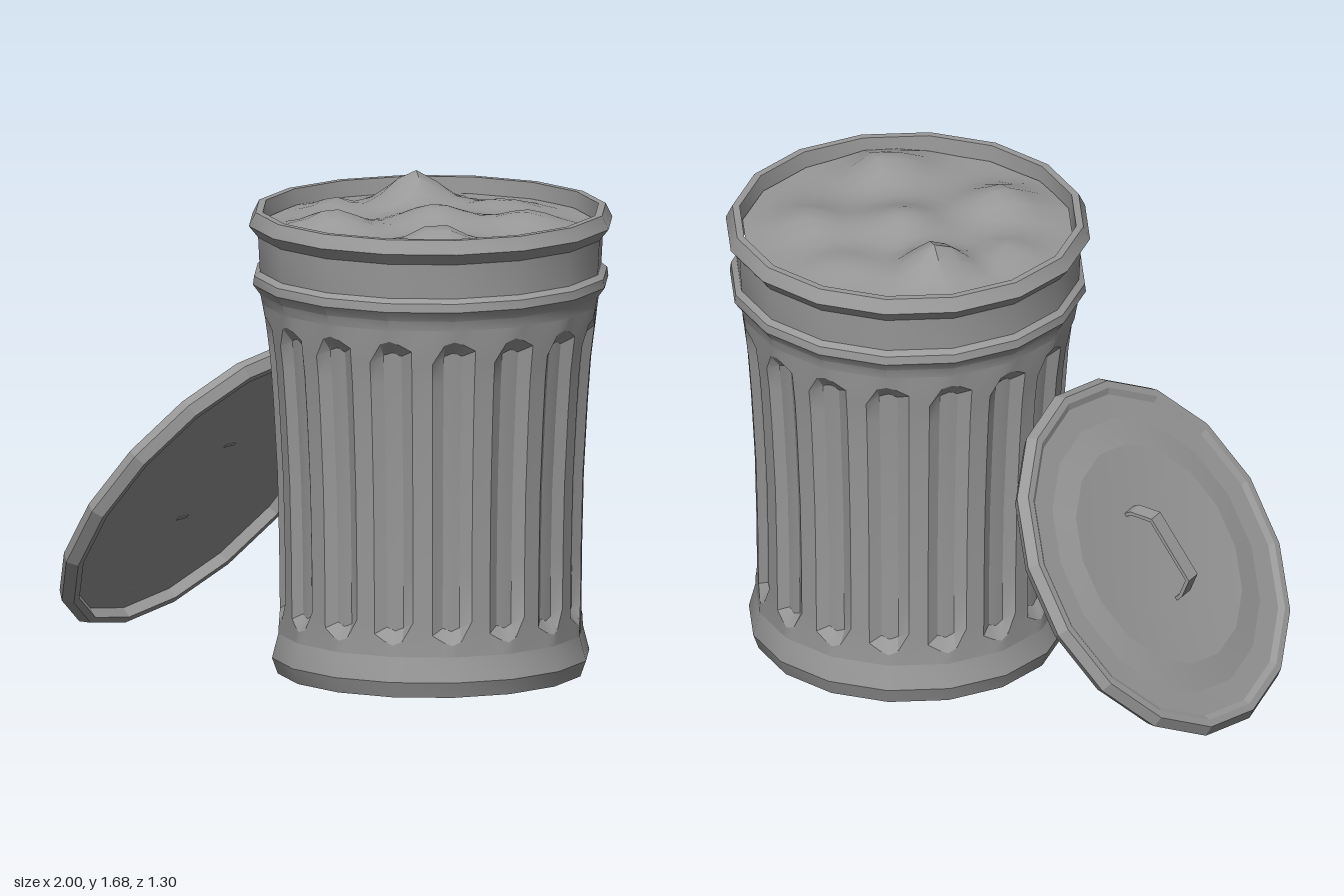
import * as THREE from 'three';
import { toCreasedNormals } from 'three/addons/utils/BufferGeometryUtils.js';

const SIDES = 16;
const rad = THREE.MathUtils.degToRad;

// Turn [radius, height] pairs into a 16-sided ring shape
function lathe(pairs, crease) {
  const g = new THREE.LatheGeometry(pairs.map(([r, y]) => new THREE.Vector2(r, y)), SIDES);
  return toCreasedNormals(g, crease);
}

// Skin a grid of points: rows go up, columns go round and close on themselves
function skin(rows, crease) {
  const n = rows[0].length, index = [];
  for (let j = 0; j < rows.length - 1; j++) {
    for (let i = 0; i < n; i++) {
      const a = j * n + i, b = j * n + (i + 1) % n;
      index.push(a, b, b + n, a, b + n, a + n);
    }
  }
  const g = new THREE.BufferGeometry();
  g.setAttribute('position', new THREE.Float32BufferAttribute(rows.flat(2), 3));
  g.setIndex(index);
  return toCreasedNormals(g, crease);
}

// Wall with sixteen shallow flutes, each centred on a corner of the polygon
function flutedWall() {
  // angle in the sector, depth, rounding of the flute's ends
  const columns = [[-7.6, 0, 0.035], [-3.4, 0.03, 0.012], [0, 0.034, 0], [3.4, 0.03, 0.012], [7.6, 0, 0.035]];
  // height, radius, depth factor, direction of end rounding
  const levels = [
    [0.15, 0.528, 0, 0], [0.19, 0.526, 0, 1], [0.235, 0.527, 1, 1], [0.45, 0.529, 1, 0],
    [0.7, 0.535, 1, 0], [0.95, 0.549, 1, 0], [1.1, 0.56, 1, 0],
    [1.215, 0.57, 1, -1], [1.26, 0.576, 0, -1], [1.3, 0.583, 0, 0],
  ];
  const half = Math.PI / SIDES;
  return skin(levels.map(([y, R, f, dir]) => {
    const row = [];
    for (let s = 0; s < SIDES; s++) {
      for (const [deg, depth, bend] of columns) {
        const t = rad(deg), a = s * 2 * half + t;
        const r = R * Math.cos(half) / Math.cos(half - Math.abs(t)) - depth * f;
        row.push([r * Math.sin(a), y + dir * bend, r * Math.cos(a)]);
      }
    }
    return row;
  }), 0.5);
}

// Lumpy filling: rings of points raised by soft mounds
function fillingShape() {
  const mounds = [ // x, z, height, width
    [-0.24, -0.23, 0.125, 0.12], [0.27, 0.32, 0.08, 0.12], [-0.2, 0.3, 0.075, 0.13],
    [0.02, 0.0, 0.07, 0.14], [0.3, -0.15, 0.06, 0.13], [0.05, -0.35, 0.04, 0.12], [-0.4, 0.02, 0.05, 0.1],
  ];
  const rows = [];
  for (let j = 0; j <= 10; j++) {
    const row = [], r = 0.572 * (1 - j / 10);
    for (let i = 0; i < 32; i++) {
      const a = i / 32 * Math.PI * 2;
      const rr = i % 2 ? r * Math.cos(Math.PI / SIDES) : r;
      const x = rr * Math.sin(a), z = rr * Math.cos(a);
      let y = 1.565;
      for (const [mx, mz, h, w] of mounds) {
        const d = Math.hypot(x - mx, z - mz) / w;
        y += h * Math.exp(-d * d);
      }
      row.push([x, y, z]);
    }
    rows.push(row);
  }
  return skin(rows, 0.6);
}

export function createModel() {
  const metal = new THREE.MeshStandardMaterial({ color: 0x999999 });
  metal.name = 'grey metal';
  const model = new THREE.Group();
  model.name = 'trashCanWithLid';

  function add(parent, name, geometry) {
    const mesh = new THREE.Mesh(geometry, metal);
    mesh.name = name;
    parent.add(mesh);
  }

  // Can
  const can = new THREE.Group();
  can.name = 'can';
  can.position.x = 0.365;
  model.add(can);
  add(can, 'base', lathe([[0, 0.01], [0.53, 0.01], [0.55, 0.065], [0.528, 0.15]], 0.5));
  add(can, 'flutedWall', flutedWall());
  add(can, 'collarAndRim', lathe([
    [0.583, 1.3], [0.59, 1.335], [0.616, 1.37], [0.612, 1.4], [0.592, 1.415], [0.598, 1.535],
    [0.63, 1.575], [0.607, 1.622], [0.582, 1.622], [0.572, 1.5],
  ], 0.5));
  add(can, 'filling', fillingShape());

  // Lid leaning against the can, its outside facing up and away
  const lid = new THREE.Group();
  lid.name = 'lid';
  lid.position.set(-0.6, 0.55, 0);
  lid.rotation.z = Math.atan2(0.807, 0.59);
  model.add(lid);
  add(lid, 'lidPlate', lathe([
    [0, 0.002], [0.22, 0.002], [0.4, 0.01], [0.5, 0.002], [0.59, 0.002], [0.6, -0.035], [0.625, -0.035],
    [0.65, 0], [0.63, 0.035], [0.605, 0.035], [0.585, 0.022], [0.5, 0.02], [0.4, 0.034], [0.22, 0.02], [0, 0.02],
  ], 0.15));

  // Handle: a flat strip bent into three straight runs
  const outer = [[-0.17, 0], [-0.165, 0.045], [-0.125, 0.11], [0.125, 0.11], [0.18, 0.045], [0.185, 0]];
  const inner = [[0.173, 0], [0.168, 0.04], [0.118, 0.098], [-0.118, 0.098], [-0.153, 0.04], [-0.158, 0]];
  const strip = new THREE.Shape([...outer, ...inner].map(([x, y]) => new THREE.Vector2(x, y)));
  const handle = new THREE.ExtrudeGeometry(strip, { depth: 0.06, bevelEnabled: false });
  handle.translate(0, 0, -0.03);
  add(lid, 'handle', handle);

  return model;
}
